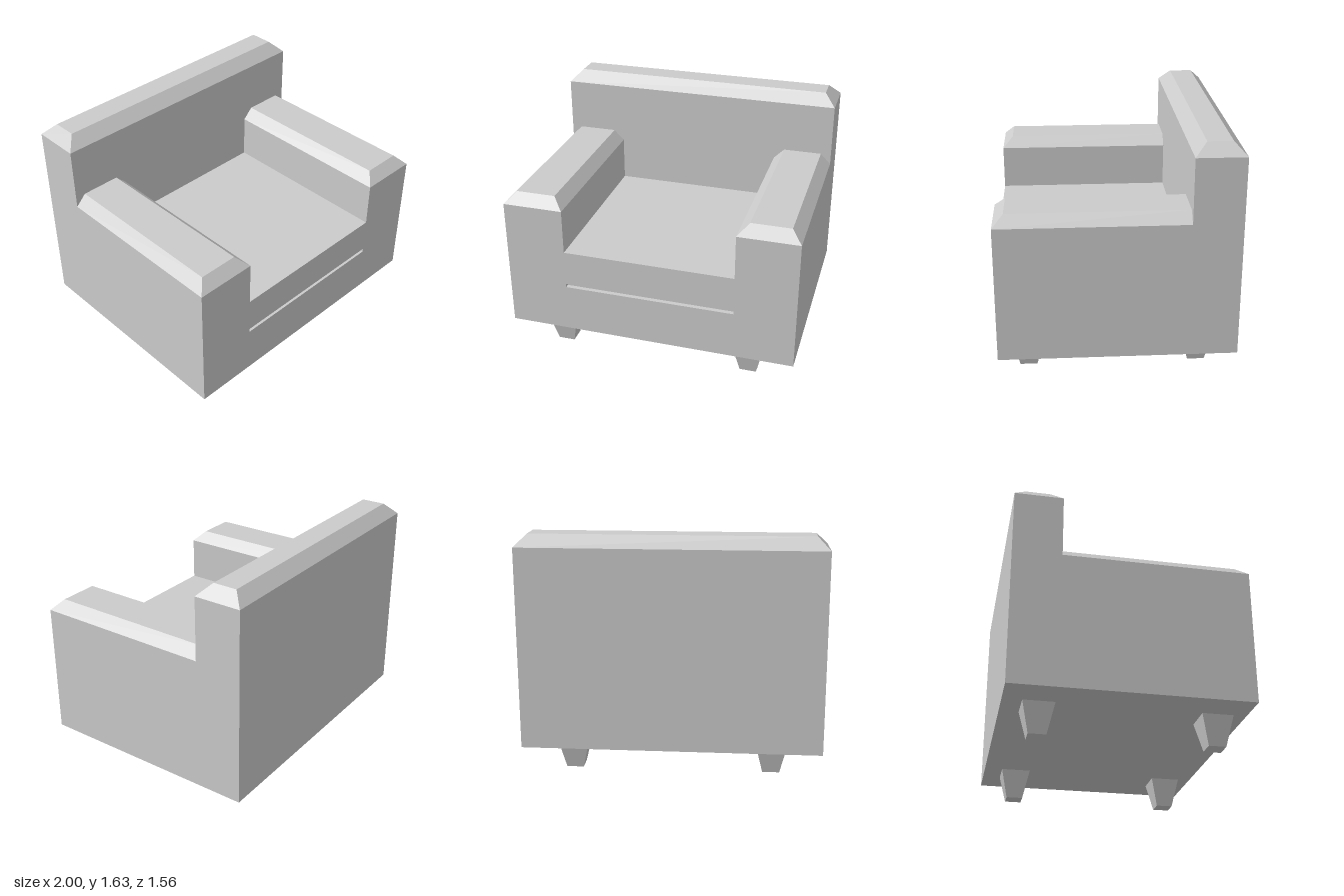
import * as THREE from 'three';

const material = new THREE.MeshStandardMaterial({ color: 0xcccccc, flatShading: true });

const FLOOR = 0.2, DEPTH = 0.78, BACK_FRONT = -0.457, ARM_IN = 0.587;

function part(name, geometry) {
  const mesh = new THREE.Mesh(geometry, material);
  mesh.name = name;
  return mesh;
}

// Upright block whose top edges are chamfered; backInset 0 leaves the rear edge square
function chamferedBlock(x0, x1, z0, z1, shoulder, top, inset, backInset = inset) {
  const g = new THREE.BoxGeometry(2, 2, 2, 1, 2, 1);
  const p = g.attributes.position;
  for (let i = 0; i < p.count; i++) {
    const level = Math.round(p.getY(i));
    const d = level > 0 ? inset : 0;
    const b = level > 0 ? backInset : 0;
    p.setXYZ(i,
      p.getX(i) > 0 ? x1 - d : x0 + d,
      [FLOOR, shoulder, top][level + 1],
      p.getZ(i) > 0 ? z1 - d : z0 + b);
  }
  const flat = g.toNonIndexed();
  flat.computeVertexNormals();
  return flat;
}

// Square leg tapering towards the ground
function legGeometry() {
  const g = new THREE.BoxGeometry(0.206, FLOOR, 0.206).translate(0, FLOOR / 2, 0);
  const p = g.attributes.position;
  for (let i = 0; i < p.count; i++) {
    if (p.getY(i) < 0.01) p.setXYZ(i, p.getX(i) * 0.56, 0, p.getZ(i) * 0.56);
  }
  const flat = g.toNonIndexed();
  flat.computeVertexNormals();
  return flat;
}

// Seat block: side profile (z, y) with a thin groove in the front, extruded across
function seatGeometry() {
  const groove = 0.03;
  const profile = new THREE.Shape([
    [BACK_FRONT, FLOOR], [DEPTH, FLOOR],
    [DEPTH, 0.535], [DEPTH - groove, 0.535], [DEPTH - groove, 0.561], [DEPTH, 0.561],
    [DEPTH, 0.807], [BACK_FRONT, 0.807],
  ].map(([z, y]) => new THREE.Vector2(z, y)));
  return new THREE.ExtrudeGeometry(profile, { depth: ARM_IN * 2, bevelEnabled: false })
    .rotateY(-Math.PI / 2)
    .translate(ARM_IN, 0, 0);
}

export function createModel() {
  const chair = new THREE.Group();
  chair.name = 'armchair';

  chair.add(part('seat', seatGeometry()));
  chair.add(part('backrest', chamferedBlock(-1, 1, -DEPTH, BACK_FRONT, 1.548, 1.627, 0.08)));

  // Armrests, butting against the backrest
  chair.add(part('leftArm', chamferedBlock(ARM_IN, 1, BACK_FRONT, DEPTH, 1.116, 1.188, 0.072, 0)));
  chair.add(part('rightArm', chamferedBlock(-1, -ARM_IN, BACK_FRONT, DEPTH, 1.116, 1.188, 0.072, 0)));

  // Four legs
  const leg = legGeometry();
  for (const [side, x] of [['Left', 0.672], ['Right', -0.668]]) {
    for (const [end, z] of [['front', 0.591], ['back', -0.551]]) {
      const mesh = part(`${end}${side}Leg`, leg);
      mesh.position.set(x, 0, z);
      chair.add(mesh);
    }
  }
  return chair;
}
